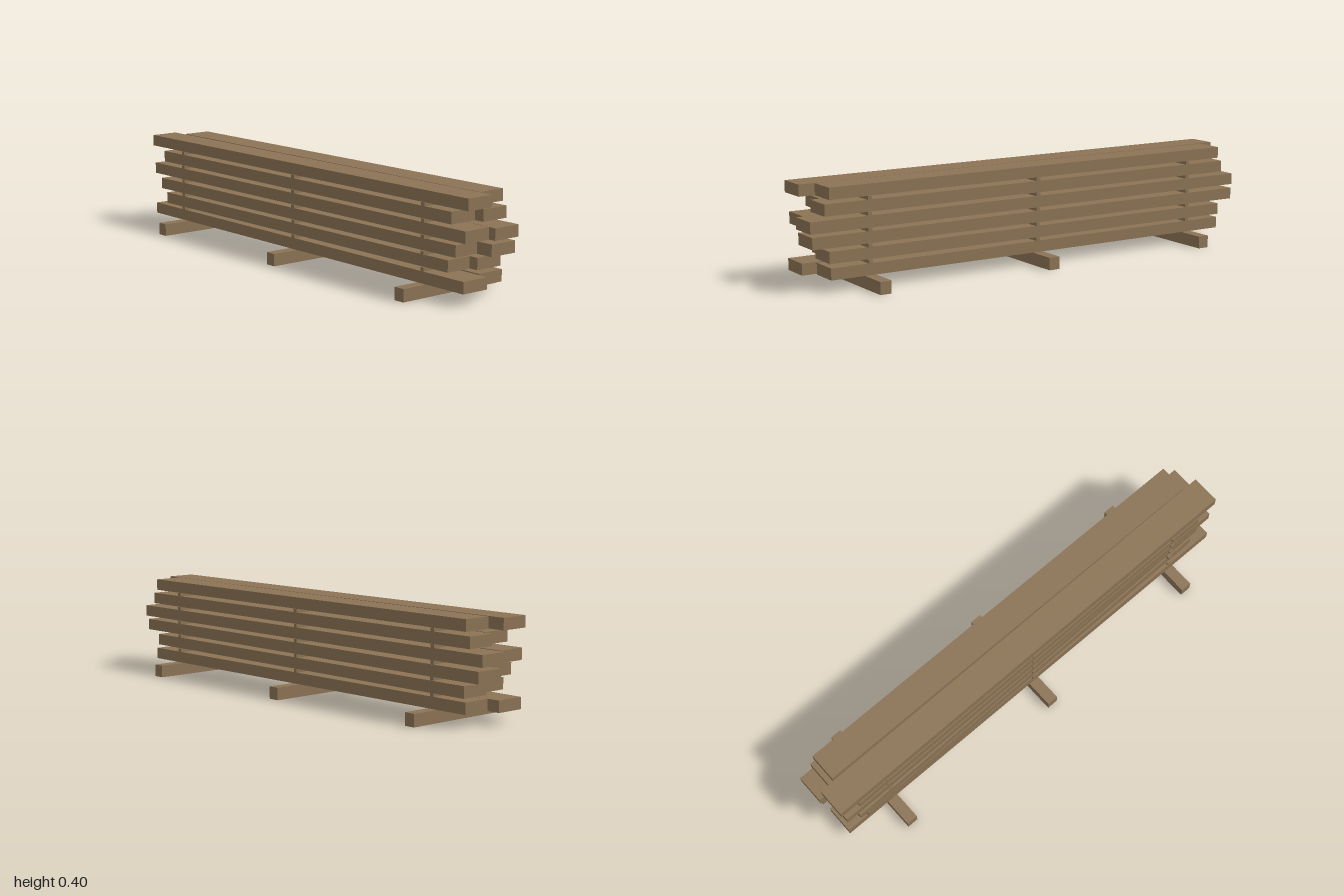
import * as THREE from 'three';

const PLANK_W = 0.119, PLANK_H = 0.046, GAP = 0.0146, BEARER_H = 0.05;
const SUPPORT_Z = [-0.755, 0, 0.755];

// Each layer holds two planks: [half length, x at the front end, x at the back end]
const LAYERS = [
  [[0.975, -0.071, -0.058], [0.92, 0.062, 0.062]],
  [[0.88, -0.058, -0.068], [0.92, 0.053, 0.071]],
  [[0.915, -0.054, -0.071], [0.99, 0.054, 0.071]],
  [[0.97, -0.061, -0.065], [1.0, 0.06, 0.064]],
  [[0.9, -0.063, -0.064], [0.94, 0.059, 0.065]],
  [[0.985, -0.063, -0.064], [0.92, 0.059, 0.065]],
];

export function createModel() {
  const model = new THREE.Group();
  model.name = 'plankStack';
  const wood = new THREE.MeshStandardMaterial({ color: 0x8b7355, flatShading: true });

  const addBox = (name, w, h, d, x, y, z) => {
    const mesh = new THREE.Mesh(new THREE.BoxGeometry(w, h, d), wood);
    mesh.name = name;
    mesh.position.set(x, y, z);
    model.add(mesh);
    return mesh;
  };

  // Cross bearers on the ground
  for (const z of SUPPORT_Z) addBox('bearer', 0.48, BEARER_H, 0.047, 0, BEARER_H / 2, z);

  LAYERS.forEach((layer, i) => {
    const bottom = BEARER_H + i * (PLANK_H + GAP);

    // Planks, each turned slightly out of line
    for (const [half, front, back] of layer) {
      const plank = addBox('plank', PLANK_W, PLANK_H, half * 2,
        (front + back) / 2, bottom + PLANK_H / 2, 0);
      plank.rotation.y = Math.atan2(front - back, half * 2);
    }

    // Thin spacer sticks between layers
    if (i < LAYERS.length - 1) {
      for (const z of SUPPORT_Z) {
        addBox('spacer', 0.252, GAP, 0.017, -0.001, bottom + PLANK_H + GAP / 2, z);
      }
    }
  });

  return model;
}
